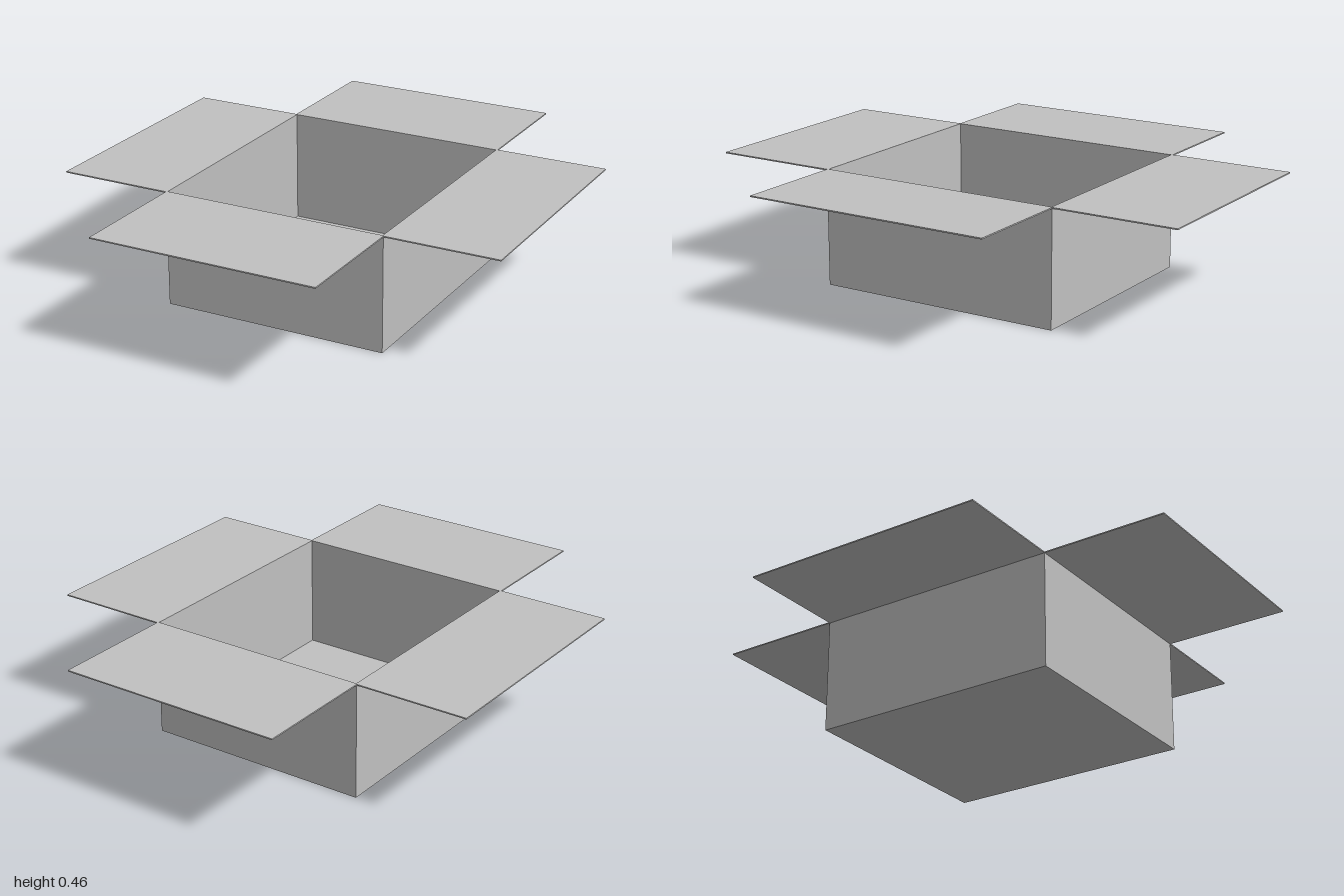
import * as THREE from 'three';

const W = 0.455, D = 0.5, H = 0.46; // half width, half depth, height
const T = 0.005;                    // board thickness
const FLAP_X = 0.453, FLAP_Z = 0.5; // flap lengths

export function createModel() {
  const group = new THREE.Group();
  group.name = 'openBox';
  const cardboard = new THREE.MeshStandardMaterial({ color: 0xc0c0c0 });
  cardboard.name = 'grey board';

  const panel = (name, sx, sy, sz, x, y, z) => {
    const mesh = new THREE.Mesh(new THREE.BoxGeometry(sx, sy, sz), cardboard);
    mesh.name = name;
    mesh.position.set(x, y, z);
    group.add(mesh);
  };

  // Bottom panel
  panel('bottom', 2 * W, T, 2 * D, 0, T / 2, 0);

  // Walls and the flaps folded outward from their top edges
  const wallH = H - T;
  for (const s of [1, -1]) {
    const side = s > 0 ? 'left' : 'right';
    const end = s > 0 ? 'front' : 'back';
    panel(side + 'Wall', T, wallH, 2 * D, s * (W - T / 2), T + wallH / 2, 0);
    panel(end + 'Wall', 2 * (W - T), wallH, T, 0, T + wallH / 2, s * (D - T / 2));
    panel(side + 'Flap', FLAP_X, T, 2 * D, s * (W + FLAP_X / 2), H - T / 2, 0);
    panel(end + 'Flap', 2 * W, T, FLAP_Z, 0, H - T / 2, s * (D + FLAP_Z / 2));
  }
  return group;
}
